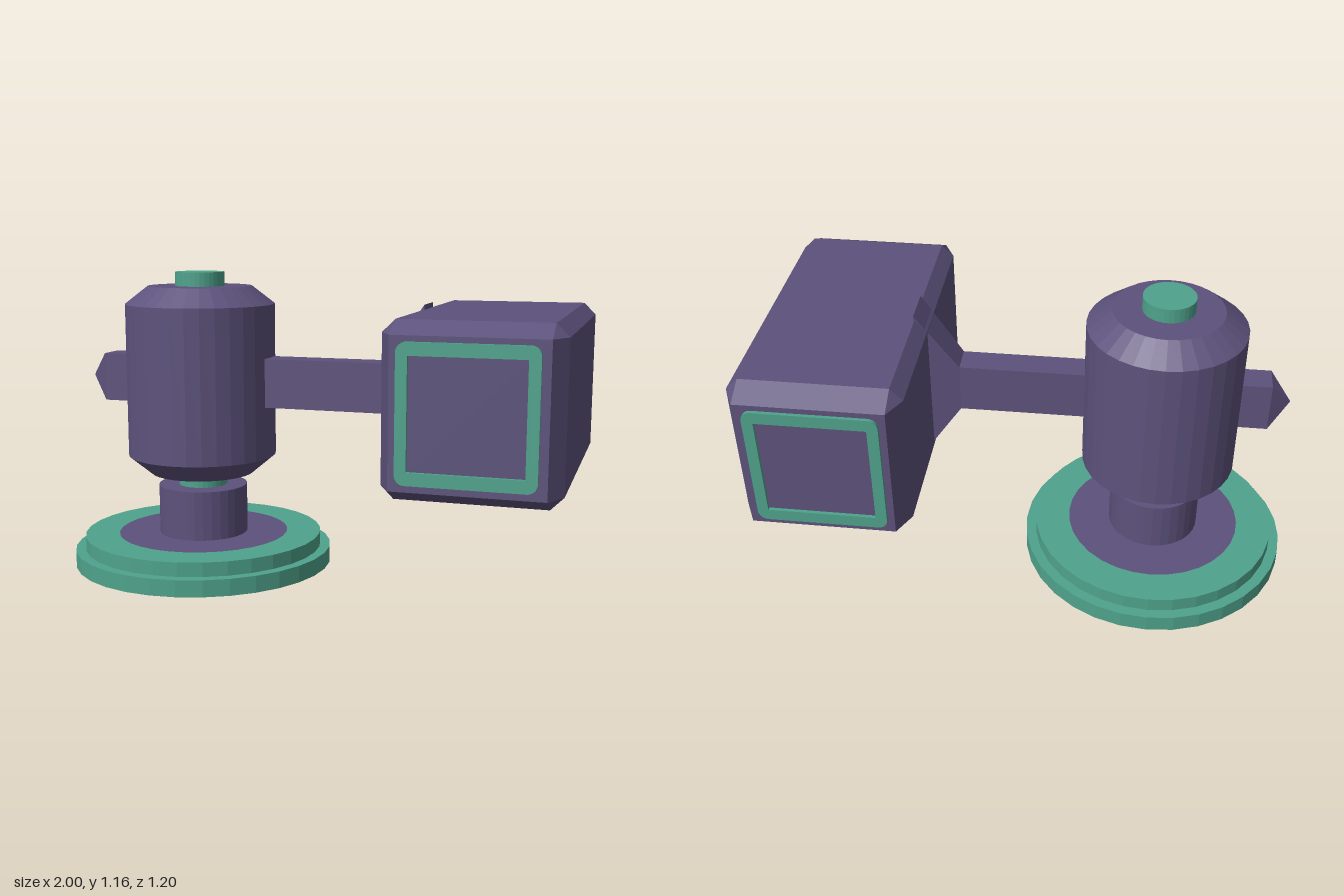
import * as THREE from 'three';
import { ConvexGeometry } from 'three/addons/geometries/ConvexGeometry.js';

const purple = new THREE.MeshStandardMaterial({ color: 0x5d527c, flatShading: true });
const green = new THREE.MeshStandardMaterial({ color: 0x4fa38c, flatShading: true });
const AXIS_X = -0.487, SIDES = 32;

export function createModel() {
  const model = new THREE.Group();
  const add = (name, geometry, material, x = 0, y = 0, z = 0) => {
    const mesh = new THREE.Mesh(geometry, material);
    mesh.name = name;
    mesh.position.set(x, y, z);
    model.add(mesh);
    return mesh;
  };
  // Turned part around the pedestal axis, profile listed as [radius, height]
  const turned = (name, profile, material) => add(name,
    new THREE.LatheGeometry(profile.map(([r, y]) => new THREE.Vector2(r, y)), SIDES), material, AXIS_X);
  // Solid spanned by corner points
  const hull = (name, points) => add(name,
    new ConvexGeometry(points.map(p => new THREE.Vector3(...p))), purple);
  // Rectangle of corners across the arm at x
  const section = (x, halfY, halfZ) => [[-1, -1], [1, -1], [1, 1], [-1, 1]]
    .map(([a, b]) => [x, 0.74 + a * halfY, b * halfZ]);

  // Stepped base ring, hollow underneath, with an inset plate
  turned('baseRing', [[0.465, 0.075], [0.485, 0.065], [0.485, 0], [0.515, 0], [0.515, 0.065],
    [0.475, 0.065], [0.475, 0.12], [0.34, 0.12]], green);
  turned('basePlate', [[0, 0.075], [0.467, 0.075], [0.467, 0.09], [0.34, 0.09], [0.34, 0.12], [0, 0.12]], purple);

  // Pedestal, axle and drum
  turned('pedestal', [[0, 0.11], [0.177, 0.11], [0.177, 0.315], [0, 0.315]], purple);
  turned('axle', [[0, 0.3], [0.097, 0.3], [0.097, 1.165], [0, 1.165]], green);
  turned('drum', [[0, 0.365], [0.205, 0.365], [0.295, 0.44], [0.295, 1.04], [0.205, 1.11], [0, 1.11]], purple);

  // Arm through the drum, with a pointed tail and a flared bracket
  add('arm', new THREE.BoxGeometry(1.16, 0.19, 0.11), purple, -0.305, 0.74, 0);
  hull('armTail', [...section(-0.885, 0.095, 0.055), [-0.963, 0.74, 0]]);
  hull('armBracket', [...section(0.275, 0.095, 0.055), ...section(0.433, 0.319, 0.073)]);

  // Chamfered head: octagonal middle, narrowing to a rectangle at each end
  const cx = 0.6925, cy = 0.735, corners = [];
  for (const sx of [-1, 1]) for (const sy of [-1, 1]) for (const sz of [-1, 1]) {
    corners.push(
      [cx + sx * 0.3075, cy + sy * 0.26, sz * 0.5],
      [cx + sx * 0.2625, cy + sy * 0.305, sz * 0.5],
      [cx + sx * 0.2625, cy + sy * 0.26, sz * 0.587]);
  }
  hull('head', corners);

  // Rounded window frames on both ends of the head
  const roundedRect = (target, w, h, r) => {
    const x = w / 2, y = h / 2;
    target.moveTo(-x + r, -y);
    target.absarc(x - r, -y + r, r, -Math.PI / 2, 0);
    target.absarc(x - r, y - r, r, 0, Math.PI / 2);
    target.absarc(-x + r, y - r, r, Math.PI / 2, Math.PI);
    target.absarc(-x + r, -y + r, r, Math.PI, Math.PI * 1.5);
    return target;
  };
  const frame = roundedRect(new THREE.Shape(), 0.47, 0.475, 0.035);
  frame.holes.push(roundedRect(new THREE.Path(), 0.39, 0.385, 0.003));
  const frameGeometry = new THREE.ExtrudeGeometry(frame, { depth: 0.02, bevelEnabled: false, curveSegments: 5 });
  add('frontFrame', frameGeometry, green, 0.69, 0.7375, 0.58);
  add('backFrame', frameGeometry, green, 0.69, 0.7375, -0.6);

  return model;
}
